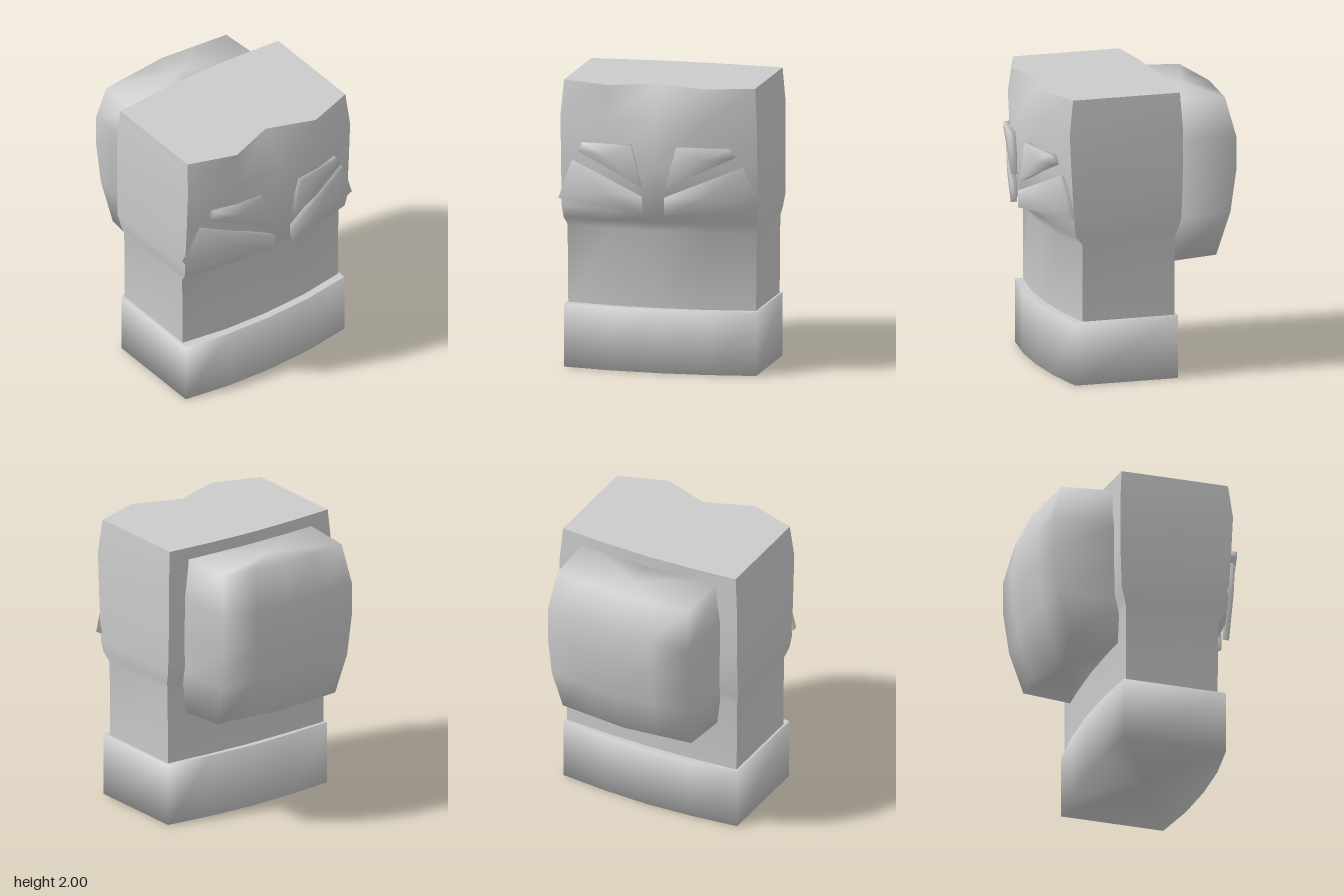
import * as THREE from 'three';
import { toCreasedNormals } from 'three/addons/utils/BufferGeometryUtils.js';

const material = new THREE.MeshStandardMaterial({ color: 0xcccccc });

// Skin a stack of equal-length rings and close both ends with a fan.
function loft(rings) {
  const n = rings[0].length;
  const pos = rings.flat(2);
  const index = [];
  for (let i = 0; i < rings.length - 1; i++) {
    for (let j = 0; j < n; j++) {
      const k = (j + 1) % n;
      const a = i * n + j, b = i * n + k, c = b + n, d = a + n;
      index.push(a, b, c, a, c, d);
    }
  }
  const cap = (r, flip) => {
    const centre = pos.length / 3;
    for (let axis = 0; axis < 3; axis++) {
      pos.push(rings[r].reduce((sum, p) => sum + p[axis], 0) / n);
    }
    for (let j = 0; j < n; j++) {
      const a = r * n + j, b = r * n + (j + 1) % n;
      if (flip) index.push(centre, b, a);
      else index.push(centre, a, b);
    }
  };
  cap(0, true);
  cap(rings.length - 1, false);
  const geometry = new THREE.BufferGeometry();
  geometry.setAttribute('position', new THREE.Float32BufferAttribute(pos, 3));
  geometry.setIndex(index);
  geometry.computeVertexNormals();
  return geometry;
}

// Horizontal outline with a bowed face (+x) and a slightly bowed back (-x).
function outline(y, w, faceCentre, faceMid, faceCorner, backCorner, backCentre) {
  const backMid = backCorner + (backCentre - backCorner) * 0.7;
  return [
    [faceCentre, y, 0], [faceMid, y, -w / 2], [faceCorner, y, -w],
    [backCorner, y, -w], [backMid, y, -w / 2], [backCentre, y, 0],
    [backMid, y, w / 2], [backCorner, y, w],
    [faceCorner, y, w], [faceMid, y, w / 2],
  ];
}

export function createModel() {
  const group = new THREE.Group();
  const add = (name, geometry) => {
    const mesh = new THREE.Mesh(geometry, material);
    mesh.name = name;
    group.add(mesh);
  };

  // Head: narrow neck, undercut face, notched brow at the top
  const head = loft([
    [0.43, 0.66, 0.525, 0.51, 0.46, -0.20, -0.23],
    [0.98, 0.665, 0.54, 0.525, 0.46, -0.20, -0.23],
    [1.04, 0.68, 0.56, 0.55, 0.51, -0.215, -0.235],
    [1.12, 0.69, 0.66, 0.62, 0.525, -0.24, -0.25],
    [1.45, 0.69, 0.69, 0.65, 0.545, -0.25, -0.26],
    [1.76, 0.69, 0.70, 0.665, 0.56, -0.25, -0.265],
    [2.00, 0.672, 0.52, 0.645, 0.53, -0.235, -0.27],
  ].map((row) => outline(...row)));
  add('head', toCreasedNormals(head, 0.9));

  // Base: softly shaded plinth below, crisp flat top
  const base = loft([0, 0.44].map((y) => outline(y, 0.675, 0.58, 0.565, 0.515, -0.22, -0.27)));
  add('base', base);
  add('baseTop', new THREE.ShapeGeometry(new THREE.Shape(
    outline(0, 0.675, 0.58, 0.565, 0.515, -0.22, -0.27).map(([x, , z]) => new THREE.Vector2(x, -z)),
  )).rotateX(-Math.PI / 2).translate(0, 0.441, 0));

  // Back pad: bowed shell; rows of [inner y, outer y, centre x, corner x, corner z]
  const pad = loft([
    [0.78, 0.80, -0.60, -0.55, 0.50],
    [1.08, 1.10, -0.69, -0.64, 0.535],
    [1.40, 1.40, -0.74, -0.68, 0.545],
    [1.64, 1.63, -0.73, -0.68, 0.545],
    [1.92, 1.90, -0.66, -0.61, 0.51],
  ].map(([yi, yo, xc, xk, w]) => [
    [-0.19, yi, 0], [-0.19, yi, -w - 0.015], [xk, yo, -w],
    [(xc + xk) / 2, yo, -w / 2], [xc, yo, 0], [(xc + xk) / 2, yo, w / 2],
    [xk, yo, w], [-0.19, yi, w + 0.015],
  ]));
  add('backPad', pad);

  // Eye plates: wedges following the bowed face, [z, y, x] per corner
  const plates = {
    UpperEye: [[0.55, 1.53, 0.635], [0.52, 1.59, 0.645], [0.16, 1.60, 0.715], [0.09, 1.32, 0.73]],
    LowerEye: [[0.705, 1.18, 0.56], [0.60, 1.46, 0.605], [0.08, 1.25, 0.735], [0.08, 1.13, 0.735]],
  };
  for (const [name, corners] of Object.entries(plates)) {
    for (const side of [1, -1]) {
      const ordered = side > 0 ? [...corners].reverse() : corners;
      const ring = (inset) => ordered.map(([z, y, x]) => [x - inset, y, side * z]);
      add((side > 0 ? 'near' : 'far') + name, loft([ring(0.045), ring(0)]));
    }
  }
  return group;
}
